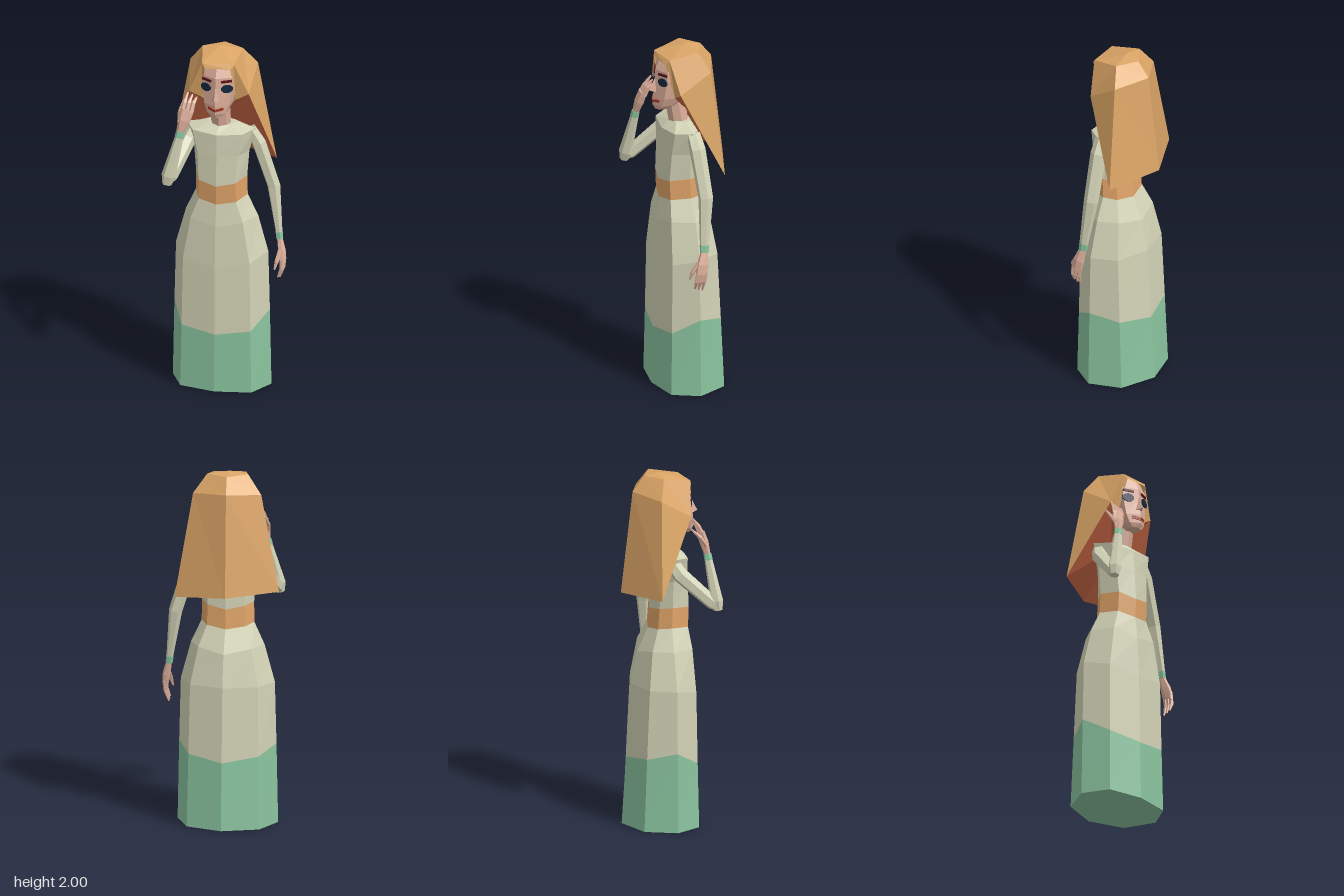
import * as THREE from 'three';

const paint = (name, color, extra = {}) => {
  const m = new THREE.MeshStandardMaterial({ color, flatShading: true, ...extra });
  m.name = name;
  return m;
};

export function createModel() {
  const group = new THREE.Group();
  const cream = paint('cream cloth', 0xd2d2b6);
  const green = paint('green cloth', 0x8ac49f);
  const gold = paint('belt gold', 0xe0a468);
  const blond = paint('hair', 0xdba566, { side: THREE.DoubleSide });
  const lining = paint('hair underside', 0xcc6a46, { side: THREE.DoubleSide });
  const skin = paint('skin', 0xdcae9a);
  const navy = paint('eye blue', 0x14283f);
  const maroon = paint('brow maroon', 0x5a1418);
  const lipRed = paint('lip red', 0xc4583e);

  const add = (name, geo, mat, parent = group) => {
    const mesh = new THREE.Mesh(geo, mat);
    mesh.name = name;
    parent.add(mesh);
    return mesh;
  };

  // Flat polygons from a list of corner loops
  const polys = (faces) => {
    const pos = [];
    for (const f of faces)
      for (let i = 1; i < f.length - 1; i++) pos.push(...f[0], ...f[i], ...f[i + 1]);
    const geo = new THREE.BufferGeometry();
    geo.setAttribute('position', new THREE.Float32BufferAttribute(pos, 3));
    geo.computeVertexNormals();
    return geo;
  };

  // Skin over successive rings, with optional end caps
  const loft = (rings, capStart = true, capEnd = true) => {
    const faces = [];
    const n = rings[0].length;
    for (let r = 0; r < rings.length - 1; r++)
      for (let i = 0; i < n; i++) {
        const j = (i + 1) % n;
        faces.push([rings[r][i], rings[r][j], rings[r + 1][j], rings[r + 1][i]]);
      }
    if (capStart) faces.push([...rings[0]].reverse());
    if (capEnd) faces.push(rings[rings.length - 1]);
    return polys(faces);
  };

  // Eight-sided section: half width, front z, side z, back z; ys bends the ring
  const oct = (cx, y, hw, zf, zs, zb, ys = [0, 0, 0, 0, 0], k = 0.72, f = 0.8) => {
    const half = [
      [0, zf], [k * hw, zs + (zf - zs) * f], [hw, zs],
      [0.72 * hw, zs + (zb - zs) * 0.71], [0, zb],
    ].map(([x, z], i) => [x, y + ys[i], z]);
    const p = (v, s) => [cx + s * v[0], v[1], v[2]];
    return [...half.map((v) => p(v, 1)), ...[3, 2, 1].map((i) => p(half[i], -1))];
  };

  // Tapered limb through [x, y, z, radiusX, radiusZ] points
  const limb = (pts, sides = 6) => {
    const c = pts.map((p) => new THREE.Vector3(p[0], p[1], p[2]));
    const ref = new THREE.Vector3(0, 0, 1);
    return loft(c.map((o, i) => {
      const d = c[Math.min(i + 1, c.length - 1)].clone().sub(c[Math.max(i - 1, 0)]).normalize();
      const u = ref.clone().cross(d).normalize();
      const v = d.clone().cross(u);
      return Array.from({ length: sides }, (_, s) => {
        const a = (s / sides) * Math.PI * 2;
        return o.clone().addScaledVector(u, Math.cos(a) * pts[i][3])
          .addScaledVector(v, Math.sin(a) * (pts[i][4] ?? pts[i][3])).toArray();
      });
    }));
  };

  // Dress: hem, skirt, belt, bodice
  const cx = -0.037;
  const hemTop = oct(cx, 0.4, 0.271, 0.162, -0.01, -0.225, [-0.06, -0.035, 0.05, 0.01, -0.02]);
  const waistLow = oct(cx, 1.125, 0.147, 0.125, -0.005, -0.1, [-0.015, 0, 0.01, 0, -0.015]);
  const waistHigh = oct(cx, 1.24, 0.145, 0.13, 0, -0.09, [-0.02, 0, 0.01, 0, -0.02]);
  add('skirtHem', loft([oct(cx, 0, 0.28, 0.17, -0.01, -0.25), hemTop], true, false), green);
  add('skirt', loft([
    hemTop,
    oct(cx, 0.8, 0.262, 0.155, -0.01, -0.2, [-0.06, -0.03, 0, 0, 0]),
    oct(cx, 1.01, 0.205, 0.142, -0.01, -0.16, [-0.03, 0, 0, 0, -0.03]),
    waistLow,
  ], false, false), cream);
  add('belt', loft([waistLow, waistHigh], false, false), gold);
  add('bodice', loft([
    waistHigh,
    oct(cx, 1.4, 0.157, 0.118, 0, -0.08),
    oct(cx - 0.003, 1.53, 0.195, 0.108, 0, -0.07, [-0.01, 0, 0.01, 0, 0]),
    oct(cx, 1.565, 0.085, 0.06, 0, -0.05),
  ], false, true), cream);

  // Neck and head
  add('neck', limb([[cx, 1.53, 0.005, 0.057], [cx, 1.7, 0.035, 0.055]], 8), skin);
  const hx = -0.034;
  const head = [
    [1.645, 0.034, 0.15, 0.105, 0.06], [1.67, 0.058, 0.163, 0.07, 0.01],
    [1.72, 0.079, 0.162, 0.05, -0.05], [1.82, 0.093, 0.15, 0.04, -0.08],
    [1.88, 0.094, 0.148, 0.035, -0.08], [1.95, 0.08, 0.115, 0.02, -0.07],
  ];
  add('head', loft(head.map(([y, ...r]) => oct(hx, y, ...r, undefined, 0.9, 0.66))), skin);
  const tip = [hx, 1.757, 0.186], bridge = [hx, 1.83, 0.15];
  const nl = [hx + 0.02, 1.748, 0.148], nr = [hx - 0.02, 1.748, 0.148];
  add('nose', polys([[bridge, tip, nl], [bridge, nr, tip], [nr, nl, tip]]), skin);

  // Painted face, mirrored
  for (const s of [1, -1]) {
    const side = s > 0 ? 'left' : 'right';
    const eye = new THREE.CylinderGeometry(1, 1, 0.008, 10);
    eye.rotateX(Math.PI / 2);
    eye.scale(0.034, 0.024, 1);
    const e = add(side + 'Eye', eye, navy);
    e.position.set(hx + s * 0.06, 1.818, 0.128);
    e.rotation.y = s * 0.45;
    const b = add(side + 'Brow', new THREE.BoxGeometry(0.062, 0.013, 0.009), maroon);
    b.position.set(hx + s * 0.056, 1.861, 0.126);
    b.rotation.set(0, s * 0.43, s * 0.05);
    const m = add(side + 'Lips', new THREE.BoxGeometry(0.048, 0.018, 0.009), lipRed);
    m.position.set(hx + s * 0.021, 1.698, 0.152);
    m.rotation.set(0, s * 0.5, s * 0.18);
    const l = add(side + 'MouthLine', new THREE.BoxGeometry(0.05, 0.004, 0.009), maroon);
    l.position.set(hx + s * 0.021, 1.699, 0.1535);
    l.rotation.copy(m.rotation);
  }

  // Hair shell: T crown, M bend, B lower rim, F and S front rim, I and J beside the face
  const C = [-0.055, 2, -0.04], TB = [-0.049, 1.985, -0.125];
  const TL = [0.069, 1.985, -0.065], TR = [-0.156, 1.985, -0.044];
  const FL = [0.058, 1.955, 0.1], FR = [-0.118, 1.955, 0.12];
  const ML = [0.14, 1.885, -0.113], MR = [-0.235, 1.88, -0.08], MB = [-0.056, 1.9, -0.193];
  const SL = [0.133, 1.77, 0.065], SR = [-0.198, 1.77, 0.1];
  const BL = [0.236, 1.3, -0.155], BR = [-0.338, 1.34, -0.107], BB = [-0.062, 1.33, -0.262];
  const IL = [0.042, 1.93, 0.12], IR = [-0.1, 1.93, 0.13];
  const JL = [0.06, 1.73, 0.07], JR = [-0.128, 1.73, 0.08];
  add('hair', polys([
    [C, TR, FR, FL, TL], [C, TL, TB], [C, TB, TR],
    [TL, FL, SL, ML], [ML, SL, BL], [TL, ML, MB, TB], [ML, BL, BB, MB],
    [TB, MB, MR, TR], [MB, BB, BR, MR], [TR, MR, SR, FR], [MR, BR, SR],
    [FR, IR, IL, FL], [FL, IL, JL, SL], [FR, SR, JR, IR],
  ]), blond);
  const nape = [-0.04, 1.58, -0.06];
  const rim = [JL, SL, BL, BB, BR, SR, JR];
  add('hairUnderside', polys(rim.slice(1).map((p, i) => [nape, rim[i], p])), lining);

  // Left arm, hanging
  const leftArm = new THREE.Group();
  leftArm.name = 'leftArm';
  group.add(leftArm);
  add('leftSleeve', limb([
    [0.125, 1.53, -0.012, 0.03, 0.04], [0.168, 1.45, -0.02, 0.04, 0.046],
    [0.25, 1.19, -0.035, 0.037, 0.042], [0.286, 0.92, -0.012, 0.019, 0.026],
  ]), cream, leftArm);
  add('leftCuff', limb([[0.285, 0.925, -0.013, 0.021, 0.028], [0.29, 0.885, -0.01, 0.02, 0.026]]), green, leftArm);
  add('leftPalm', limb([
    [0.29, 0.89, -0.01, 0.016, 0.021], [0.306, 0.82, 0.005, 0.022, 0.034], [0.314, 0.765, 0.016, 0.018, 0.036],
  ]), skin, leftArm);
  for (let i = 0; i < 3; i++) {
    const z = -0.008 + i * 0.022;
    add('leftFinger', limb([
      [0.314, 0.775, z, 0.014, 0.013], [0.312, 0.72, z + 0.008, 0.012], [0.293, 0.66 + i * 0.008, z + 0.012, 0.005],
    ], 5), skin, leftArm);
  }
  add('leftThumb', limb([
    [0.3, 0.83, 0.025, 0.012], [0.29, 0.775, 0.06, 0.012], [0.28, 0.73, 0.074, 0.005],
  ], 5), skin, leftArm);

  // Right arm, raised to the cheek
  const rightArm = new THREE.Group();
  rightArm.name = 'rightArm';
  group.add(rightArm);
  add('rightUpperArm', limb([
    [-0.185, 1.52, -0.01, 0.035, 0.04], [-0.215, 1.45, 0.03, 0.042, 0.045],
    [-0.275, 1.29, 0.2, 0.038, 0.038], [-0.29, 1.265, 0.23, 0.025, 0.025],
  ]), cream, rightArm);
  add('rightForearm', limb([
    [-0.29, 1.25, 0.228, 0.026, 0.024], [-0.282, 1.3, 0.222, 0.04, 0.036], [-0.228, 1.53, 0.19, 0.024, 0.022],
  ]), cream, rightArm);
  add('rightCuff', limb([[-0.23, 1.525, 0.191, 0.026, 0.024], [-0.223, 1.56, 0.186, 0.024, 0.022]]), green, rightArm);
  add('rightPalm', limb([
    [-0.224, 1.555, 0.186, 0.02, 0.018], [-0.208, 1.62, 0.172, 0.036, 0.024], [-0.195, 1.68, 0.155, 0.04, 0.02],
  ]), skin, rightArm);
  for (let i = 0; i < 3; i++) {
    const x = -0.22 + i * 0.025;
    add('rightFinger', limb([
      [x, 1.665, 0.158, 0.015], [x + 0.008, 1.715, 0.138, 0.013], [x + 0.02, 1.765 - i * 0.012, 0.105, 0.005],
    ], 5), skin, rightArm);
  }
  add('rightThumb', limb([
    [-0.232, 1.61, 0.175, 0.013], [-0.238, 1.66, 0.14, 0.012], [-0.228, 1.71, 0.09, 0.005],
  ], 5), skin, rightArm);

  return group;
}
